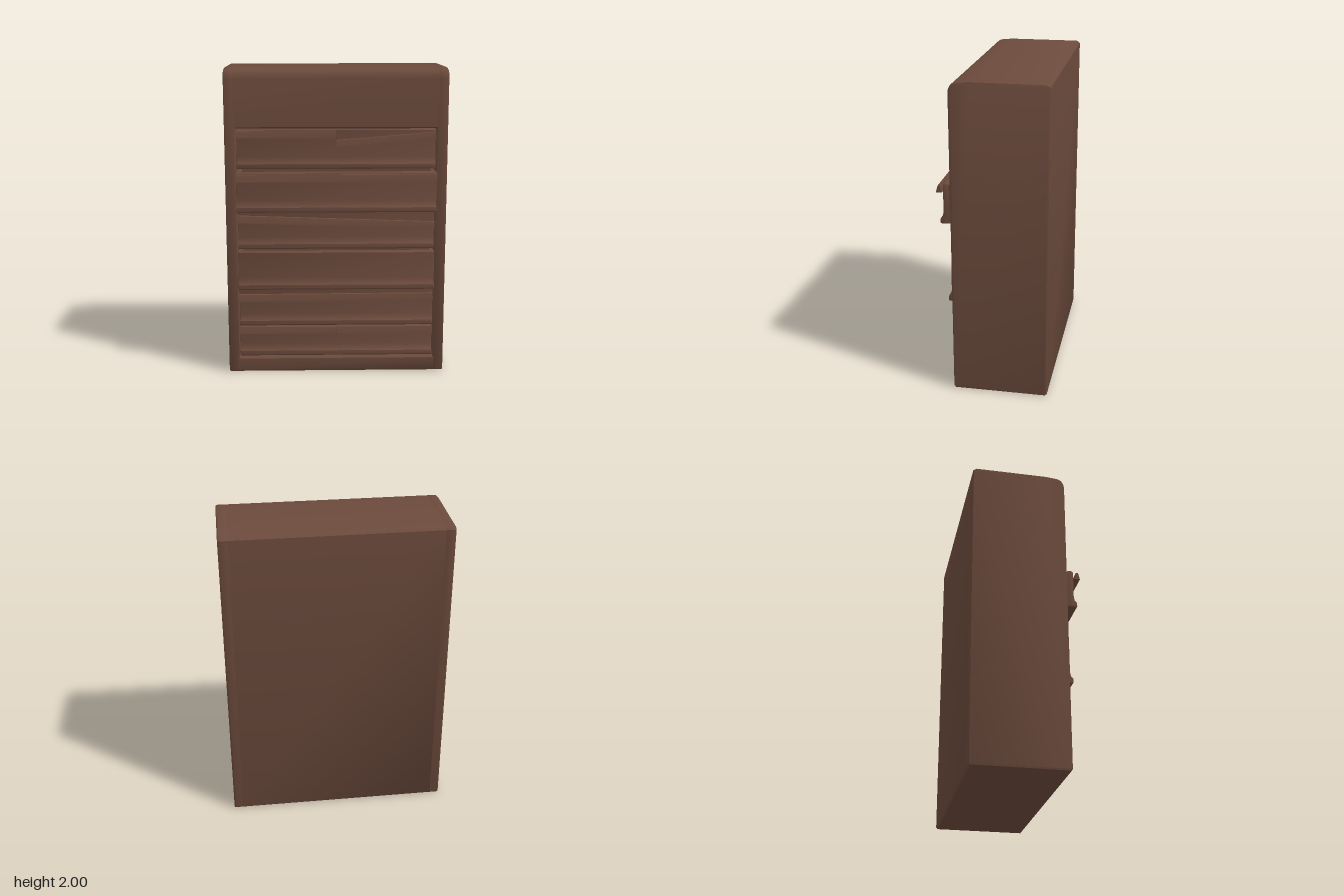
import * as THREE from 'three';
import { toCreasedNormals } from 'three/addons/utils/BufferGeometryUtils.js';

const wood = new THREE.MeshStandardMaterial({ color: 0x6b4a3c });
wood.name = 'brown wood';

// Extrudes a (z, y) side profile along x between x0 and x1, with an optional bevel kept inside the outline
function extrudeX(name, shape, x0, x1, bevel = 0) {
  let geo = new THREE.ExtrudeGeometry(shape, {
    depth: x1 - x0 - 2 * bevel,
    bevelEnabled: bevel > 0,
    bevelSize: bevel,
    bevelThickness: bevel,
    bevelOffset: -bevel,
    bevelSegments: 2,
    curveSegments: 6,
  });
  geo.rotateY(-Math.PI / 2); // profile x -> z, depth -> -x
  geo.translate(x1 - bevel, 0, 0);
  geo = toCreasedNormals(geo, 0.7);
  const mesh = new THREE.Mesh(geo, wood);
  mesh.name = name;
  return mesh;
}

const polygon = (pts) => new THREE.Shape(pts.map(([z, y]) => new THREE.Vector2(z, y)));

// Cabinet side outline; with a notch it leaves room for the drawers
function cabinetProfile(notch) {
  const s = new THREE.Shape();
  s.moveTo(-0.34, 0);
  s.lineTo(0.24, 0);
  s.lineTo(0.25, 0.015);
  if (notch) {
    s.lineTo(0.25, 0.09);
    s.lineTo(0.24, 0.1);
    s.lineTo(0.14, 0.1);
    s.lineTo(0.14, 1.62);
    s.lineTo(0.24, 1.62);
    s.lineTo(0.25, 1.63);
  }
  s.lineTo(0.25, 1.93);
  s.quadraticCurveTo(0.245, 1.985, 0.2, 1.993);
  s.lineTo(0.13, 2);
  s.lineTo(-0.33, 2);
  s.lineTo(-0.35, 1.985);
  s.lineTo(-0.35, 0.012);
  s.closePath();
  return s;
}

function box(name, w, h, d, x, y, z) {
  const mesh = new THREE.Mesh(new THREE.BoxGeometry(w, h, d), wood);
  mesh.name = name;
  mesh.position.set(x, y, z);
  return mesh;
}

// Sloping pull strip from (x0, y0) to (x1, y1), measured along its middle
function makeHandle(x0, y0, x1, y1, z) {
  const len = Math.hypot(x1 - x0, y1 - y0);
  const profile = polygon([[0, -0.022], [0.036, -0.024], [0.035, -0.012], [0.026, 0.022], [0.012, 0.024]]);
  const mesh = extrudeX('handle', profile, -len / 2, len / 2);
  mesh.position.set((x0 + x1) / 2, (y0 + y1) / 2, z);
  mesh.rotation.z = Math.atan2(y1 - y0, x1 - x0);
  return mesh;
}

// Hollow drawer with a front that flares to a lip at the bottom
function makeDrawer({ y0, y1, z, handles }) {
  const drawer = new THREE.Group();
  drawer.name = 'drawer';
  const b = y0 + 0.005, t = y1 - 0.005, w = 0.636;
  const front = polygon([
    [z - 0.035, b], [z + 0.016, b], [z + 0.021, b + 0.008], [z + 0.019, b + 0.032],
    [z + 0.006, b + 0.045], [z, b + 0.075], [z, t - 0.008], [z - 0.008, t], [z - 0.035, t],
  ]);
  drawer.add(extrudeX('drawerFront', front, -w, w, 0.006));
  const depth = z - 0.15;
  const mid = 0.14 + depth / 2;
  for (const side of [-1, 1]) {
    drawer.add(box('drawerSide', 0.026, t - b - 0.01, depth, side * (w - 0.015), (t + b) / 2, mid));
  }
  drawer.add(box('drawerBottom', 2 * w - 0.03, 0.02, depth, 0, b + 0.015, mid));
  for (const h of handles) drawer.add(makeHandle(...h, z + (z > 0.25 ? 0.006 : 0)));
  return drawer;
}

const drawers = [
  { y0: 0.10, y1: 0.31, z: 0.215, handles: [[-0.635, 0.284, -0.003, 0.28], [0.003, 0.282, 0.635, 0.282]] },
  { y0: 0.31, y1: 0.57, z: 0.217, handles: [[-0.635, 0.505, 0.635, 0.51]] },
  { y0: 0.57, y1: 0.83, z: 0.27, handles: [] },
  { y0: 0.83, y1: 1.09, z: 0.217, handles: [[-0.635, 1.034, 0.635, 0.99]] },
  { y0: 1.09, y1: 1.355, z: 0.31, handles: [[-0.635, 1.317, 0.635, 1.317]] },
  { y0: 1.355, y1: 1.62, z: 0.217, handles: [[-0.635, 1.582, -0.003, 1.582], [0.003, 1.522, 0.635, 1.573]] },
];

export function createModel() {
  const model = new THREE.Group();
  model.name = 'chestOfDrawers';

  // Cabinet: two side posts with a notched middle between them
  const cabinet = new THREE.Group();
  cabinet.name = 'cabinet';
  cabinet.add(extrudeX('cabinetMiddle', cabinetProfile(true), -0.65, 0.65));
  cabinet.add(extrudeX('leftSide', cabinetProfile(false), 0.64, 0.71, 0.01));
  cabinet.add(extrudeX('rightSide', cabinetProfile(false), -0.71, -0.64, 0.01));
  model.add(cabinet);

  for (const d of drawers) model.add(makeDrawer(d));
  return model;
}
